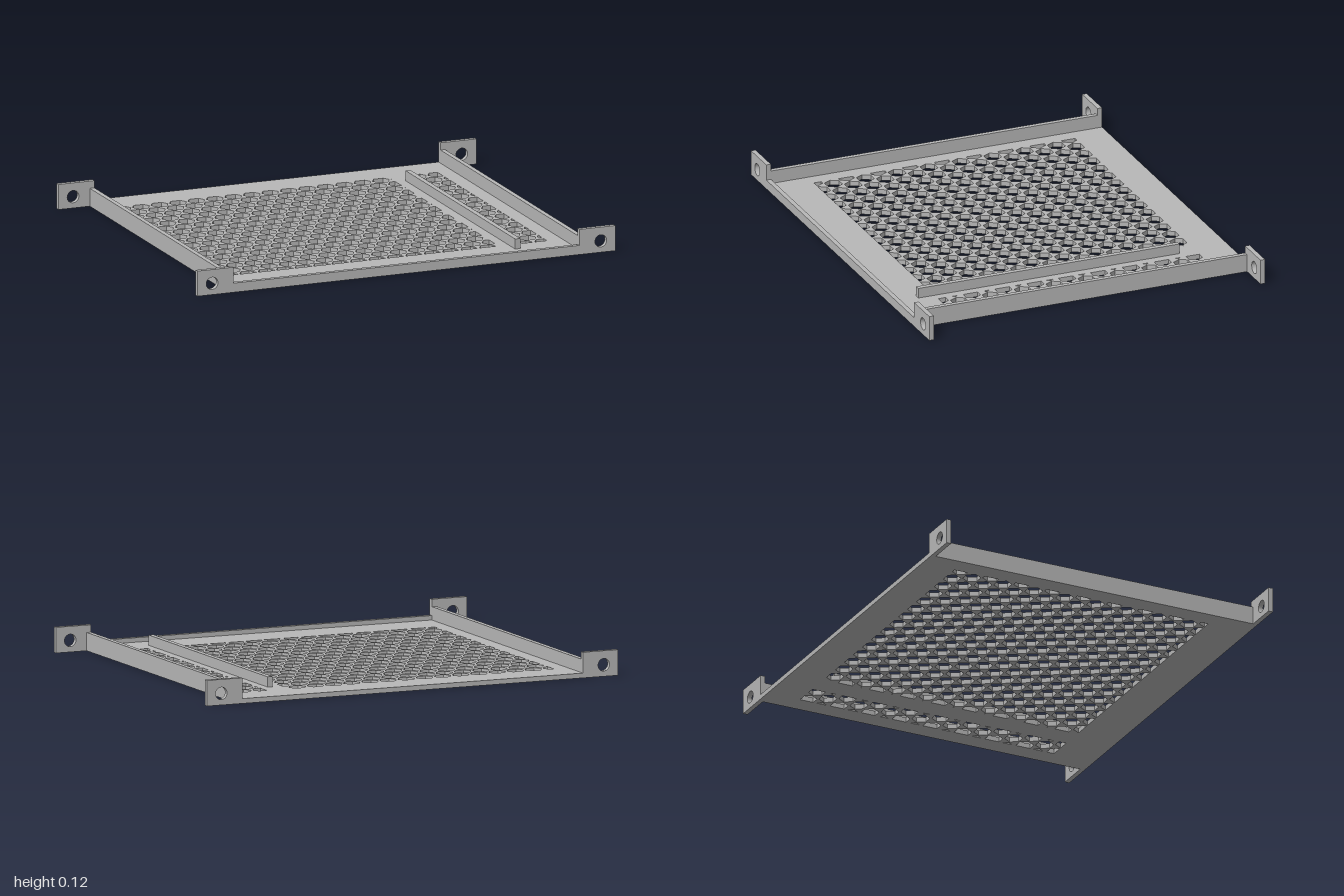
import * as THREE from 'three';

const W = 0.828;     // half width of the floor plate
const D = 0.806;     // half depth overall
const T = 0.022;     // sheet thickness
const OUT = 1.0;     // outer edge of the mounting tabs
const TAB_H = 0.115, LIP_H = 0.042, WALL_H = 0.082;

// Hexagon perforation lattice
const PITCH = 0.0883, ROW = PITCH * Math.sqrt(3) / 2, R = 0.0402;
const X0 = -0.763, Z0 = -0.617, ROWS = 17;

// Cuts a convex polygon with the half plane sign * p[axis] <= limit
function cut(points, axis, sign, limit) {
  const result = [];
  points.forEach((a, i) => {
    const b = points[(i + 1) % points.length];
    const da = sign * a[axis] - limit, db = sign * b[axis] - limit;
    if (da <= 0) result.push(a);
    if (da * db < 0) result.push(a.clone().lerp(b, da / (da - db)));
  });
  return result;
}

// Hexagonal holes trimmed to a rectangular field
function addHexField(shape, xMin, xMax, zMin, zMax) {
  for (let r = 0; r < ROWS; r++) {
    for (let c = -1; c < 20; c++) {
      const cx = X0 + (c + (r % 2) / 2) * PITCH, cz = Z0 + r * ROW;
      let pts = [];
      for (let k = 0; k < 6; k++) {
        const a = k * Math.PI / 3;
        pts.push(new THREE.Vector2(cx + R * Math.cos(a), cz + R * Math.sin(a)));
      }
      pts = cut(pts, 'x', 1, xMax);
      pts = cut(pts, 'x', -1, -xMin);
      pts = cut(pts, 'y', 1, zMax);
      pts = cut(pts, 'y', -1, -zMin);
      if (pts.length > 2 && Math.abs(THREE.ShapeUtils.area(pts)) > 1e-5) {
        shape.holes.push(new THREE.Path(pts));
      }
    }
  }
}

function polygon(coords) {
  return new THREE.Shape(coords.map(([x, y]) => new THREE.Vector2(x, y)));
}

function addScrewHole(shape, x) {
  shape.holes.push(new THREE.Path().absarc(x, 0.052, 0.028, 0, Math.PI * 2, true));
}

function extrude(shape) {
  return new THREE.ExtrudeGeometry(shape, { depth: T, bevelEnabled: false, curveSegments: 24 });
}

export function createModel() {
  const model = new THREE.Group();
  model.name = 'ventilatedTray';
  const metal = new THREE.MeshStandardMaterial({ color: 0xb8b8b8 });
  metal.name = 'light grey metal';

  const add = (name, geometry, x = 0, y = 0, z = 0) => {
    const mesh = new THREE.Mesh(geometry, metal);
    mesh.name = name;
    mesh.position.set(x, y, z);
    model.add(mesh);
  };

  // Perforated floor: a wide field and a narrow strip beside the rib
  const floor = polygon([[-W, -D], [W, -D], [W, D - T], [-W, D - T]]);
  addHexField(floor, -0.76, 0.524, -0.647, 0.607);
  addHexField(floor, 0.636, 0.756, -0.647, 0.607);
  add('perforatedFloor', extrude(floor).rotateX(Math.PI / 2), 0, T, 0);

  // Front panel: low lip rising into a mounting tab at each end
  const front = polygon([
    [-OUT, 0], [OUT, 0], [OUT, TAB_H], [W, TAB_H],
    [W, LIP_H], [-W, LIP_H], [-W, TAB_H], [-OUT, TAB_H],
  ]);
  addScrewHole(front, -0.93);
  addScrewHole(front, 0.93);
  add('frontPanel', extrude(front), 0, 0, D - T);

  for (const [side, s] of [['left', 1], ['right', -1]]) {
    // Rear mounting tab
    const xa = Math.min(s * W, s * OUT), xb = Math.max(s * W, s * OUT);
    const tab = polygon([[xa, 0], [xb, 0], [xb, TAB_H], [xa, TAB_H]]);
    addScrewHole(tab, s * 0.93);
    add(side + 'RearTab', extrude(tab), 0, 0, -D);

    // Side wall between the tabs
    add(side + 'SideWall', new THREE.BoxGeometry(T, WALL_H, 2 * (D - T)),
      s * (W + T / 2), WALL_H / 2, 0);
  }

  // Raised rib dividing the two perforated fields
  add('dividerRib', new THREE.BoxGeometry(0.024, 0.046, 1.254), 0.583, T + 0.023, 0.058);

  return model;
}
